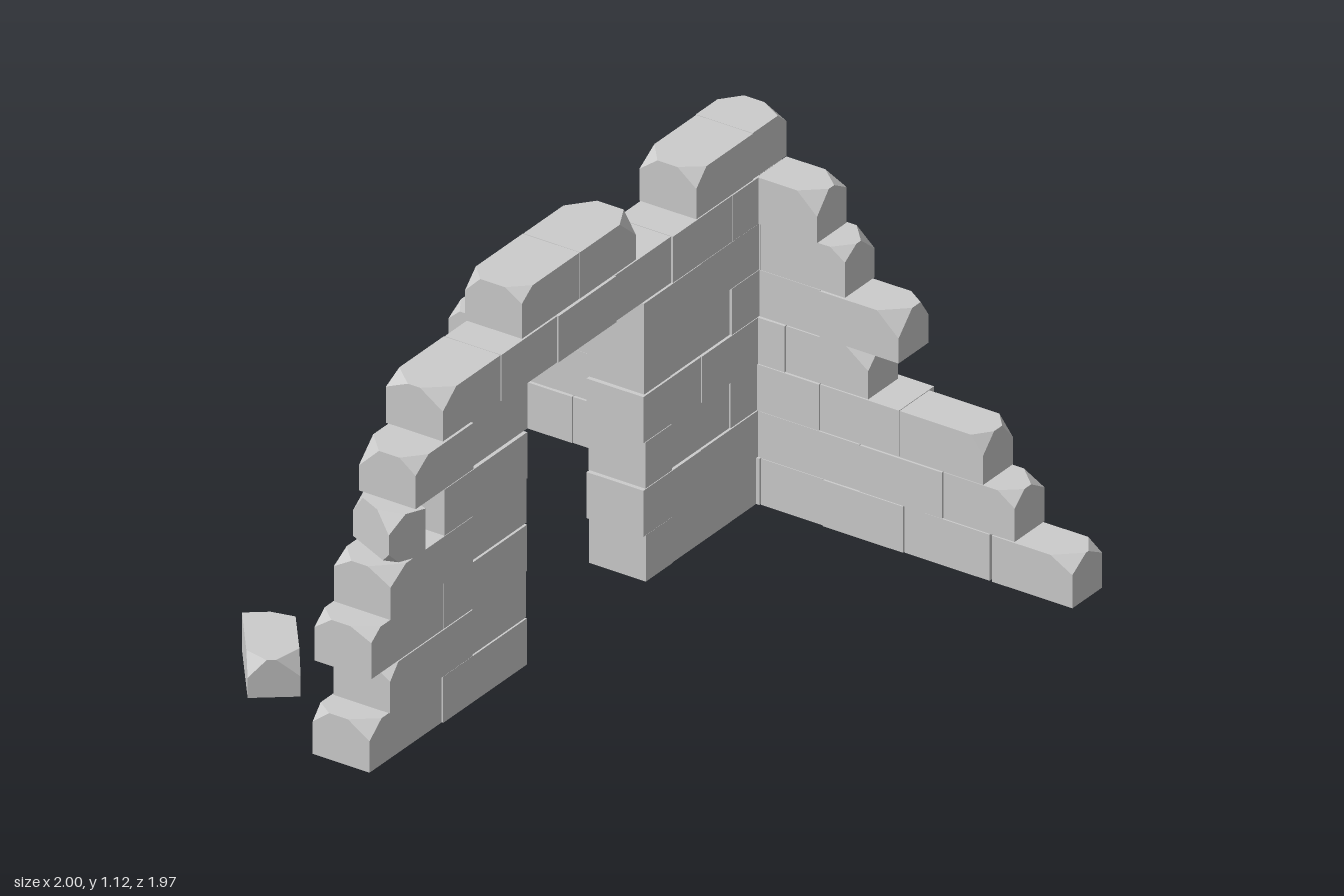
import * as THREE from 'three';
import { ConvexGeometry } from 'three/addons/geometries/ConvexGeometry.js';

const ROW = 0.1407;
const GAP = 0.002;

export function createModel() {
  const model = new THREE.Group();
  model.name = 'ruinedStoneWalls';
  const material = new THREE.MeshStandardMaterial({ color: 0xcccccc, flatShading: true });

  // small seeded generator for worn corners
  let seed = 11;
  const rnd = (a, b) => {
    seed = (seed * 16807) % 2147483647;
    return a + (b - a) * seed / 2147483647;
  };

  // block with some corners broken off; chips maps corner signs 'sx,sy,sz' to cut lengths
  function block(w, h, d, chips = {}) {
    const pts = [];
    for (const sx of [-1, 1]) for (const sy of [-1, 1]) for (const sz of [-1, 1]) {
      const p = new THREE.Vector3(sx * w / 2, sy * h / 2, sz * d / 2);
      const c = chips[`${sx},${sy},${sz}`];
      if (!c) { pts.push(p); continue; }
      const cut = [Math.min(c[0], w * 0.46), Math.min(c[1], h * 0.46), Math.min(c[2], d * 0.46)];
      pts.push(p.clone().setX(p.x - sx * cut[0]));
      pts.push(p.clone().setY(p.y - sy * cut[1]));
      pts.push(p.clone().setZ(p.z - sz * cut[2]));
    }
    return new THREE.Mesh(new ConvexGeometry(pts), material);
  }

  // brick from its limits; end is 'x' or 'z' axis, chipped = -1 / 1 for the worn end
  function brick(parent, name, x0, x1, row, z0, z1, axis, chipped) {
    const chips = {};
    if (chipped) {
      for (const s of [-1, 1]) {
        const size = () => [rnd(0.035, 0.075), rnd(0.03, 0.065), rnd(0.035, 0.075)];
        chips[axis === 'x' ? `${chipped},1,${s}` : `${s},1,${chipped}`] = size();
      }
    }
    const m = block(x1 - x0 - GAP, ROW - GAP, z1 - z0 - GAP, chips);
    m.position.set((x0 + x1) / 2, (row + 0.5) * ROW - (row ? 0 : GAP / 2), (z0 + z1) / 2);
    m.name = name;
    parent.add(m);
  }

  // arched wall: runs of joints along z, per row
  const archWall = new THREE.Group();
  archWall.name = 'archWall';
  const archRows = [
    [[0.99, 0.655, 0.265], [-0.285, -0.41, -0.68, -0.98]],
    [[0.905, 0.52, 0.265], [-0.27, -0.54, -0.81]],
    [[0.99, 0.655, 0.265], [-0.28, -0.405, -0.68, -0.98]],
    [[0.905, 0.52, 0.26], [-0.27, -0.54, -0.81]],
    [[0.655, 0.27], [-0.28, -0.405, -0.68, -0.94]],
    [[0.79, 0.52, 0.255], [-0.27, -0.54, -0.81]],
    [[0.655, 0.385, 0.125, -0.145, -0.405, -0.68, -0.81, -0.945]],
    [[0.285, 0.015, -0.245], [-0.515, -0.78, -0.94]],
  ];
  archRows.forEach((runs, row) => runs.forEach((joints, r) => {
    for (let i = 0; i < joints.length - 1; i++) {
      const j = rnd(-0.005, 0.005);
      const last = i === joints.length - 2;
      let worn = 0;
      if (i === 0 && (r === 0 || row === 7) && row !== 4) worn = 1;
      if (last && row >= 6) worn = -1;
      brick(archWall, 'archBrick', -0.192 + j, -0.008 + j, row, joints[i + 1], joints[i], 'z', worn);
    }
  }));
  model.add(archWall);

  // stepped back wall: [x start, x end, worn end, back offset] per row
  const backWall = new THREE.Group();
  backWall.name = 'steppedWall';
  const backRows = [
    [[-0.86, -0.6], [-0.6, -0.33], [-0.325, -0.2, 0, 0.035], [-0.2, 0, 0, 0.035],
      [0, 0.2, 0, 0.035], [0.2, 0.46, 0, 0.025], [0.46, 0.735], [0.74, 1, 1]],
    [[-1, -0.74, -1], [-0.74, -0.47], [-0.47, -0.2], [-0.2, 0], [0, 0.32], [0.32, 0.585], [0.585, 0.815, 1]],
    [[-0.61, -0.35, -1, 0.02], [-0.35, -0.19], [-0.01, 0.19], [0.19, 0.445, 0, 0.025], [0.445, 0.715, 1]],
    [[-0.445, -0.2, -1], [-0.2, 0.08], [0.08, 0.345, 1]],
    [[-0.345, -0.19, -1], [-0.01, 0.19], [0.19, 0.445, 1]],
    [[-0.19, 0, -1], [0, 0.27, 1]],
    [[-0.01, 0.185, 1]],
  ];
  backRows.forEach((bricks, row) => {
    for (const [x0, x1, worn = 0, back = 0] of bricks) {
      const j = rnd(-0.004, 0.004);
      brick(backWall, 'wallBrick', x0, x1, row, -0.943 - back + j, -0.803 + j, 'x', worn);
    }
  });
  model.add(backWall);

  // broken brick twisted out of the arch leg
  const twisted = block(0.185, ROW - GAP, 0.112, {
    '1,1,1': [0.06, 0.05, 0.06], '-1,1,1': [0.05, 0.06, 0.04], '1,-1,1': [0.03, 0.03, 0.03],
  });
  twisted.name = 'twistedBrick';
  twisted.position.set(-0.095, 4.5 * ROW, 0.78);
  twisted.rotation.y = -0.436;
  model.add(twisted);

  // brick lying on the ground
  const fallen = block(0.265, 0.112, 0.14, {
    '1,1,-1': [0.06, 0.1, 0.07], '1,1,1': [0.06, 0.06, 0.05], '-1,1,-1': [0.03, 0.02, 0.1],
  });
  fallen.name = 'fallenBrick';
  fallen.position.set(-0.537, 0.056, 0.687);
  fallen.rotation.y = -0.91;
  model.add(fallen);

  return model;
}
